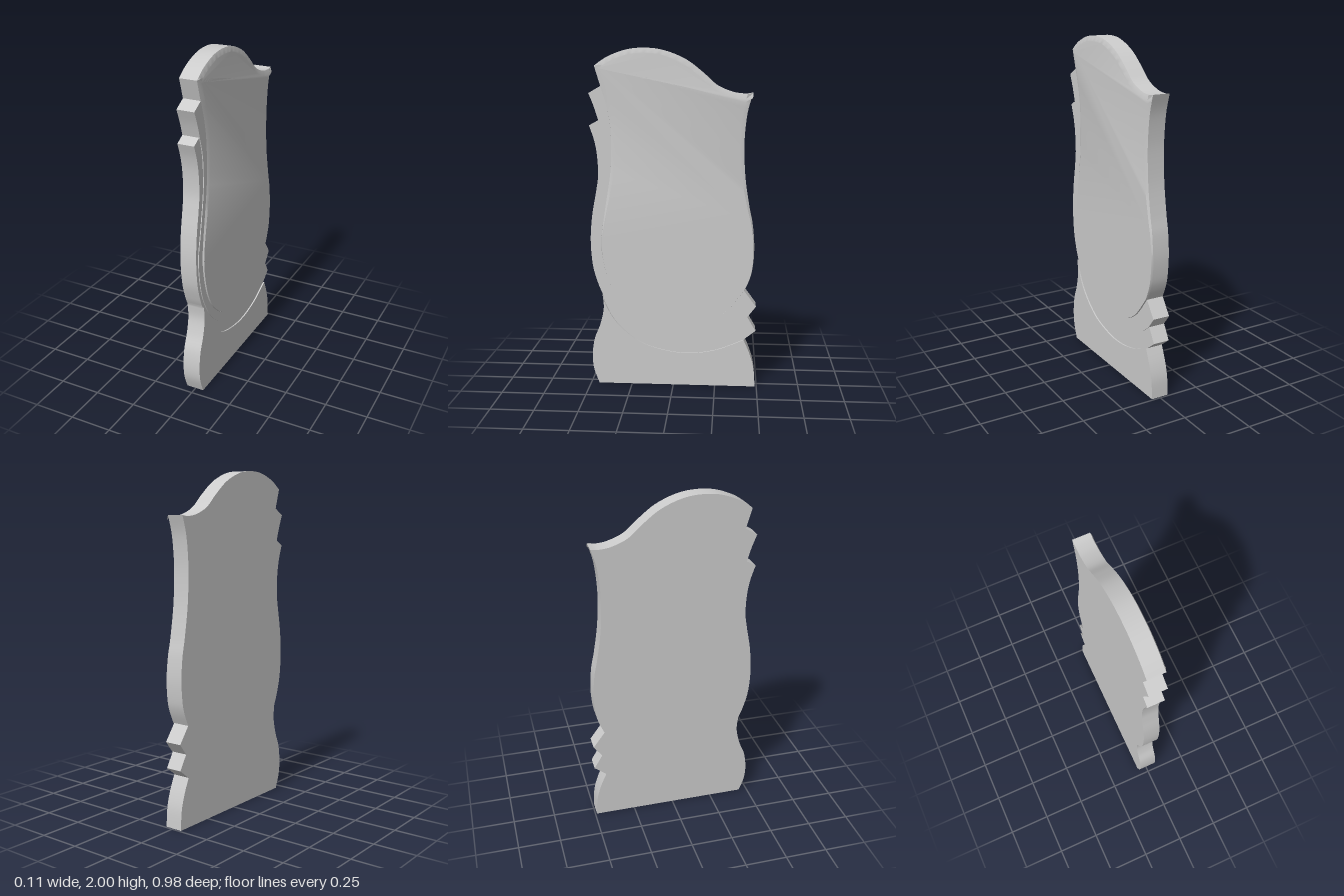
import * as THREE from 'three';
import { mergeGeometries, toCreasedNormals } from 'three/addons/utils/BufferGeometryUtils.js';

const BACK = -0.057, BODY = 0.042, BAND = 0.047, PLINTH = 0.05, RIM = 0.046, FACE = 0.055;
const material = new THREE.MeshStandardMaterial({ color: 0xcccccc });

// Smooth line through [u, y] pairs; u runs towards -z
function curve(pairs, n = 48) {
  return new THREE.SplineCurve(pairs.map(([u, y]) => new THREE.Vector2(u, y))).getPoints(n);
}
const corner = (u, y) => [new THREE.Vector2(u, y)];
const reversed = (points) => [...points].reverse();

// Joins lines into one loop without repeated points
function loop(...parts) {
  const points = [];
  for (const p of parts.flat()) {
    if (!points.length || points[points.length - 1].distanceTo(p) > 1e-5) points.push(p);
  }
  if (points[0].distanceTo(points[points.length - 1]) < 1e-5) points.pop();
  return points;
}

// Edges of the slab
const top = curve([[0.455, 1.747], [0.41, 1.742], [0.34, 1.752], [0.25, 1.79], [0.17, 1.86], [0.07, 1.935],
  [-0.05, 1.985], [-0.16, 2], [-0.27, 1.99], [-0.38, 1.95], [-0.455, 1.9]]);
const panelSide = curve([[0.42, 0.59], [0.45, 0.66], [0.467, 0.73], [0.475, 0.85], [0.465, 0.98], [0.445, 1.08],
  [0.42, 1.24], [0.41, 1.38], [0.41, 1.5], [0.425, 1.64], [0.455, 1.747]]);
const upperTip = curve([[-0.49, 1.745], [-0.46, 1.67], [-0.435, 1.59]], 8);
const bandSide = curve([[-0.49, 1.56], [-0.463, 1.48], [-0.446, 1.39], [-0.441, 1.27], [-0.455, 1.17],
  [-0.48, 1.03], [-0.491, 0.88], [-0.48, 0.73], [-0.45, 0.62], [-0.425, 0.56]]);
const plinthLeft = curve([[-0.425, 0.56], [-0.418, 0.47], [-0.44, 0.37], [-0.475, 0.28], [-0.489, 0.18],
  [-0.482, 0.09], [-0.45, 0]], 30);
const plinthRight = curve([[0.49, 0], [0.482, 0.11], [0.458, 0.2], [0.42, 0.29]], 16);

// Carved sweeps across the face, from upper left to lower right
const plinthSweep = curve([[-0.425, 0.56], [-0.4, 0.48], [-0.33, 0.37], [-0.2, 0.265], [-0.05, 0.215],
  [0.1, 0.2], [0.26, 0.225], [0.42, 0.29]]);
const bandSweep = curve([[-0.435, 1.59], [-0.41, 1.5], [-0.4, 1.4], [-0.405, 1.25], [-0.44, 1.05], [-0.468, 0.9],
  [-0.46, 0.75], [-0.42, 0.6], [-0.33, 0.45], [-0.2, 0.34], [-0.08, 0.29], [0.04, 0.275], [0.2, 0.295],
  [0.33, 0.35], [0.44, 0.43]], 80);
const panelSweep = curve([[-0.42, 1.785], [-0.385, 1.67], [-0.365, 1.55], [-0.362, 1.4], [-0.37, 1.27],
  [-0.405, 1.05], [-0.425, 0.9], [-0.42, 0.78], [-0.38, 0.62], [-0.3, 0.49], [-0.17, 0.39], [0, 0.36],
  [0.16, 0.38], [0.3, 0.45], [0.42, 0.59]], 80);

function addPart(group, name, geometry) {
  const mesh = new THREE.Mesh(toCreasedNormals(geometry, 0.5), material);
  mesh.name = name;
  group.add(mesh);
}

function slab(points, from, to) {
  const geometry = new THREE.ExtrudeGeometry(new THREE.Shape(points), { depth: to - from, bevelEnabled: false });
  return geometry.translate(0, 0, from);
}

// Raised panel whose chamfer widens towards the top
function chamferedPanel(points) {
  const n = points.length;
  const inner = points.map((p, i) => {
    const t = points[(i + 1) % n].clone().sub(points[(i + n - 1) % n]).normalize();
    const width = 0.002 + 0.026 * THREE.MathUtils.smoothstep(p.y, 0.7, 1.6);
    return new THREE.Vector2(p.x - t.y * width, p.y + t.x * width);
  });
  const rings = [[points, BODY], [points, RIM], [inner, FACE]];
  const positions = [], index = [];
  rings.forEach(([ring, z]) => ring.forEach((p) => positions.push(p.x, p.y, z)));
  for (let r = 0; r < 2; r++) {
    for (let i = 0; i < n; i++) {
      const a = r * n + i, b = r * n + (i + 1) % n;
      index.push(a, b, b + n, a, b + n, a + n);
    }
  }
  const sides = new THREE.BufferGeometry();
  sides.setAttribute('position', new THREE.Float32BufferAttribute(positions, 3));
  sides.setIndex(index);
  const cap = new THREE.ShapeGeometry(new THREE.Shape(inner)).translate(0, 0, FACE).toNonIndexed();
  cap.deleteAttribute('uv');
  cap.deleteAttribute('normal');
  return mergeGeometries([sides.toNonIndexed(), cap]);
}

export function createModel() {
  const group = new THREE.Group();
  group.name = 'carvedSlab';
  const carving = new THREE.Group();
  carving.name = 'slab';
  carving.rotation.y = Math.PI / 2;
  group.add(carving);

  // Full silhouette; its face forms the outer band
  addPart(carving, 'body', slab(loop(
    plinthRight, corner(0.49, 0.345), corner(0.44, 0.43), corner(0.49, 0.495), panelSide, top,
    corner(-0.42, 1.785), upperTip, bandSide, plinthLeft), BACK, BODY));

  addPart(carving, 'plinthFace', slab(loop(plinthRight, reversed(plinthSweep), plinthLeft), BODY, PLINTH));

  addPart(carving, 'innerBand', slab(loop(
    bandSweep, corner(0.49, 0.495), reversed(panelSweep), upperTip), BODY, BAND));

  addPart(carving, 'raisedPanel', chamferedPanel(loop(panelSweep, panelSide, top)));

  return group;
}
